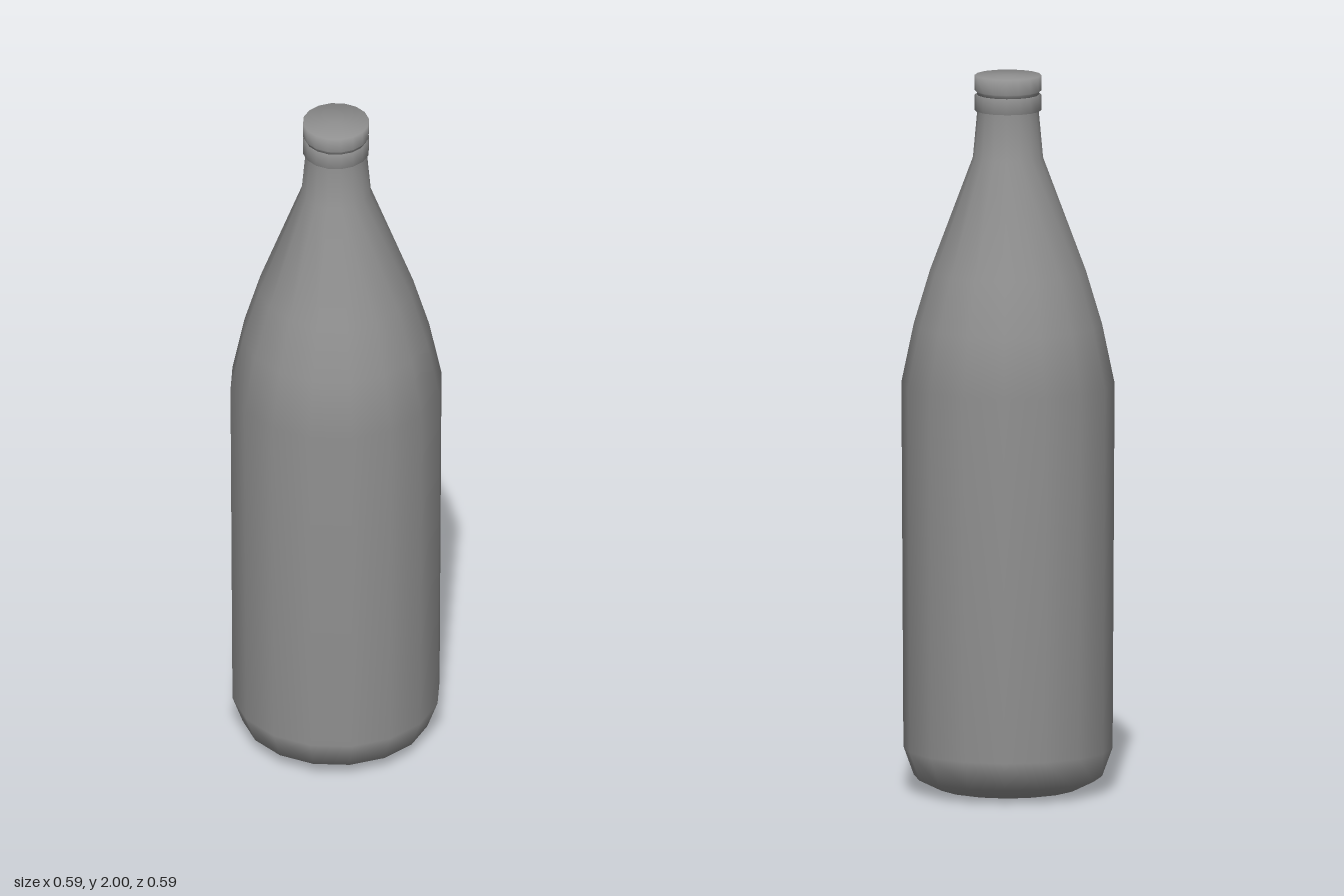
import * as THREE from 'three';

const SIDES = 16;

// Revolve a list of [radius, height] pairs, listed bottom to top
function turned(name, profile, material) {
  const points = profile.map(([r, y]) => new THREE.Vector2(r, y));
  const mesh = new THREE.Mesh(new THREE.LatheGeometry(points, SIDES), material);
  mesh.name = name;
  return mesh;
}

export function createModel() {
  const material = new THREE.MeshStandardMaterial({ color: 0x909090 });
  const bottle = new THREE.Group();
  bottle.name = 'bottle';

  // Rounded base, barely flaring body, curved shoulder and neck
  bottle.add(turned('bottleBody', [
    [0, 0], [0.15, 0], [0.195, 0.008], [0.26, 0.04], [0.289, 0.12],
    [0.2945, 1.14], [0.26, 1.305], [0.215, 1.455],
    [0.097, 1.77], [0.085, 1.9], [0.085, 1.95],
  ], material));

  // Ring around the lip
  bottle.add(turned('neckRing', [
    [0.08, 1.9], [0.092, 1.902], [0.092, 1.945], [0.08, 1.947],
  ], material));

  // Flat-topped cap closing the mouth
  bottle.add(turned('cap', [
    [0, 1.94], [0.086, 1.942], [0.086, 1.953], [0.092, 1.957], [0.092, 2], [0, 2],
  ], material));

  return bottle;
}
